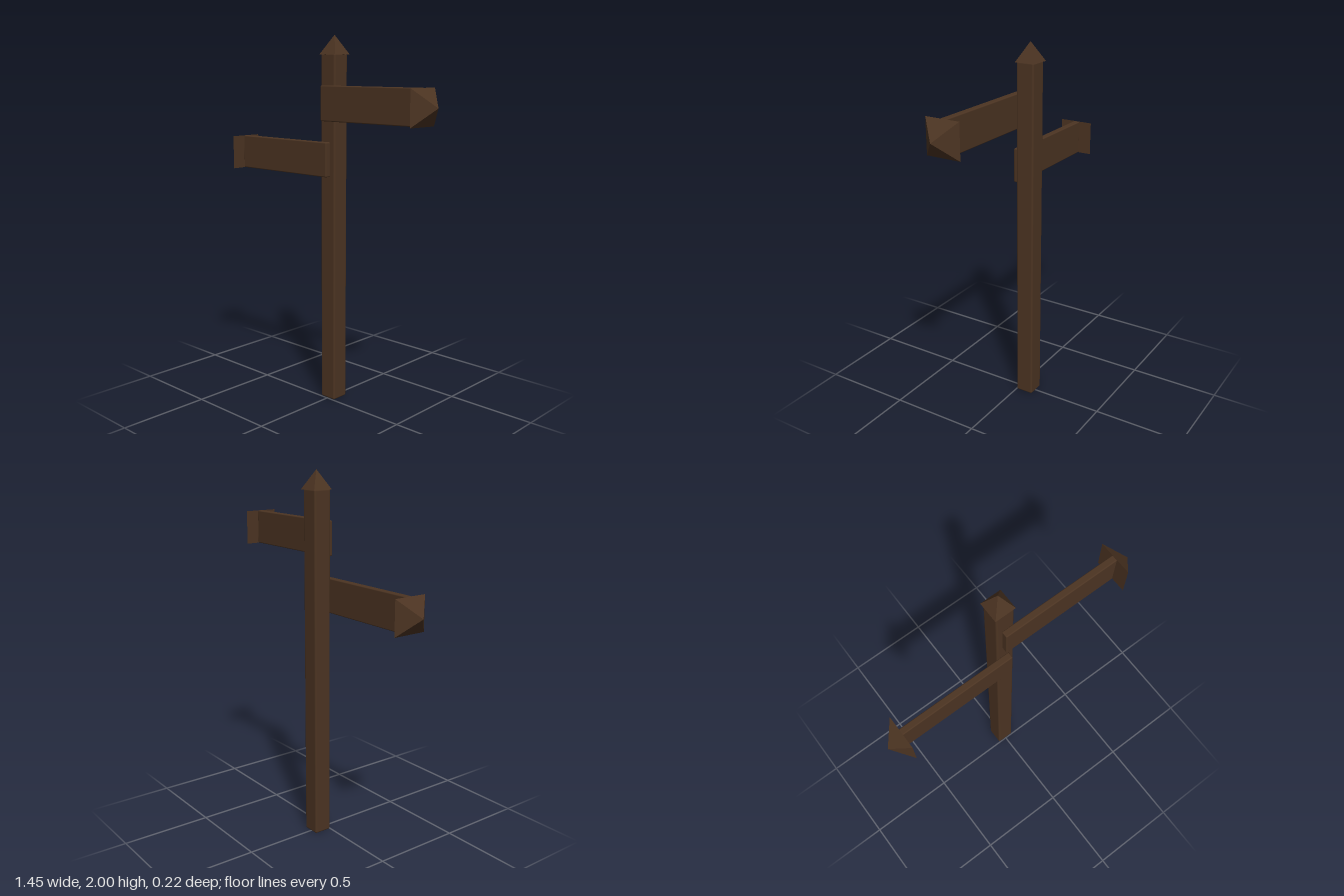
import * as THREE from 'three';
import { RoundedBoxGeometry } from 'three/addons/geometries/RoundedBoxGeometry.js';

const wood = new THREE.MeshStandardMaterial({ color: 0x4c3422 });
wood.name = 'dark brown wood';

function add(parent, name, geometry, x, y, z) {
  const mesh = new THREE.Mesh(geometry, wood);
  mesh.name = name;
  mesh.position.set(x, y, z);
  parent.add(mesh);
  return mesh;
}

// Square pyramid with crisp faces, base centred at the origin, pointing up
function pyramid(width, height, depth) {
  const g = new THREE.ConeGeometry(Math.SQRT1_2, 1, 4).toNonIndexed();
  g.rotateY(Math.PI / 4);
  g.translate(0, 0.5, 0);
  g.scale(width, height, depth);
  g.computeVertexNormals();
  return g;
}

// Board with a pyramid arrowhead; side is +1 or -1 along x
function makeSign(name, side, y) {
  const sign = new THREE.Group();
  sign.name = name;
  add(sign, 'board', new RoundedBoxGeometry(0.655, 0.185, 0.036, 2, 0.006), side * 0.3075, y, 0.014);
  const tip = pyramid(0.185, 0.092, 0.19);
  tip.rotateZ(-side * Math.PI / 2);
  add(sign, 'arrowhead', tip, side * 0.633, y, 0.017);
  return sign;
}

export function createModel() {
  const model = new THREE.Group();
  model.name = 'signpost';

  // Upright post with softened edges and a pointed cap
  add(model, 'post', new RoundedBoxGeometry(0.1, 1.905, 0.1, 2, 0.01), 0, 0.9525, -0.053);
  add(model, 'cap', pyramid(0.112, 0.1, 0.112), 0, 1.9, -0.056);

  // Two arrow boards on the front of the post
  model.add(makeSign('upperSign', 1, 1.648));
  model.add(makeSign('lowerSign', -1, 1.352));
  return model;
}
